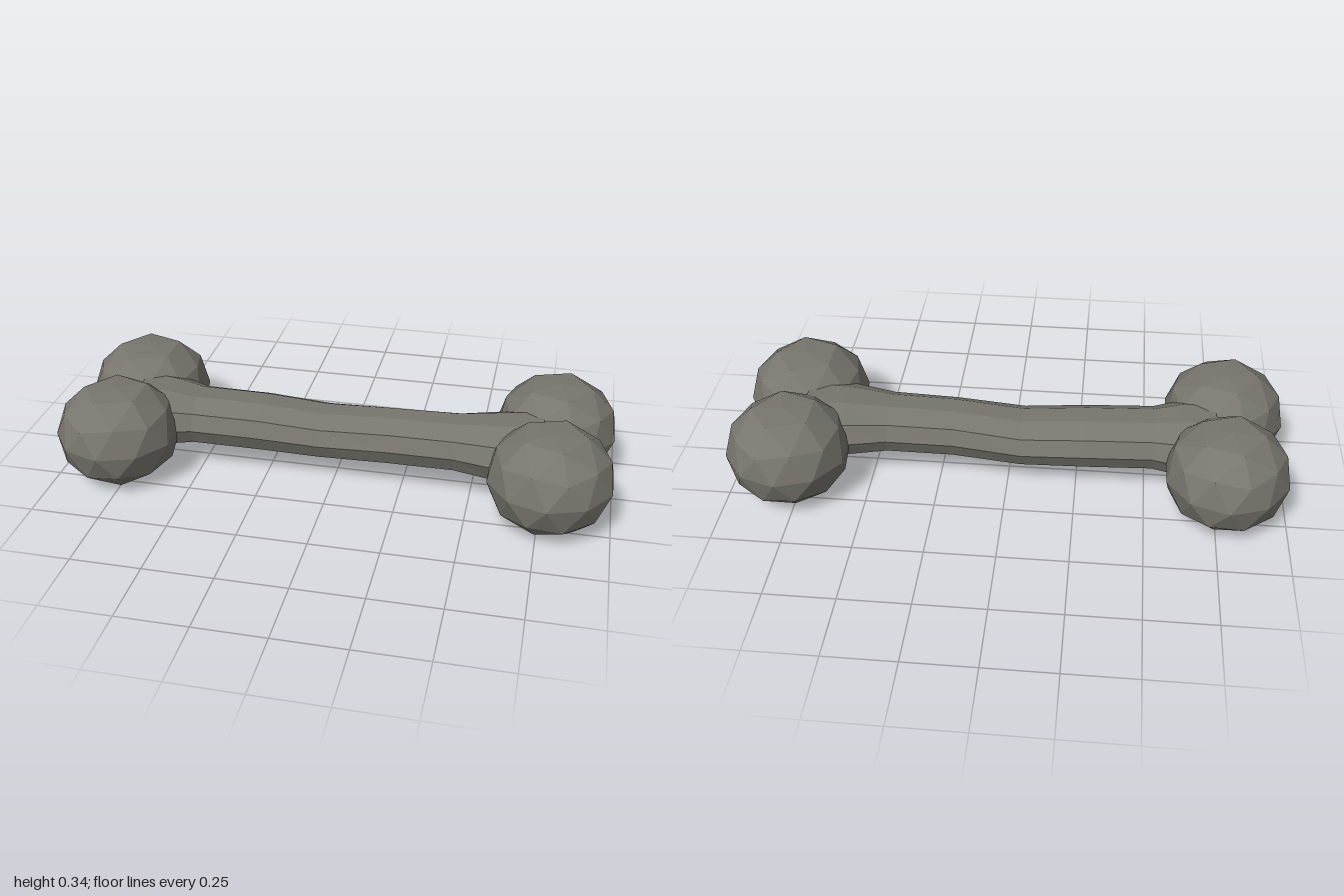
import * as THREE from 'three';

export function createModel() {
  const bone = new THREE.MeshStandardMaterial({ color: 0x77756d, flatShading: true });
  bone.name = 'weathered grey bone';
  const model = new THREE.Group();
  model.name = 'bone';
  const midY = 0.173;

  // Knob: icosphere with a vertex at the pole, flattened on top and bottom
  function knobGeometry() {
    const geo = new THREE.IcosahedronGeometry(1, 1);
    geo.rotateZ(-Math.atan2(1, (1 + Math.sqrt(5)) / 2));
    const pos = geo.attributes.position;
    for (let i = 0; i < pos.count; i++) {
      const y = THREE.MathUtils.clamp(pos.getY(i) * 0.193, -0.172, 0.172);
      pos.setXYZ(i, pos.getX(i) * 0.222, y, pos.getZ(i) * 0.229);
    }
    geo.computeVertexNormals();
    return geo;
  }
  const knobGeo = knobGeometry();
  for (const sx of [1, -1]) {
    for (const sz of [1, -1]) {
      const knob = new THREE.Mesh(knobGeo, bone);
      knob.name = (sz > 0 ? 'front' : 'back') + (sx > 0 ? 'Left' : 'Right') + 'Knob';
      knob.position.set(sx * 0.78, midY, sz * 0.181);
      if (sx < 0) knob.rotation.y = Math.PI;
      model.add(knob);
    }
  }

  // Shaft: ten-sided rings given as x, bottom, top, back, front; closed at both ends
  const rings = [
    [-0.74, 0.17, 0.17, 0, 0],
    [-0.74, 0.06, 0.29, -0.19, 0.19],
    [-0.62, 0.07, 0.285, -0.165, 0.175],
    [-0.52, 0.08, 0.267, -0.135, 0.142],
    [-0.28, 0.074, 0.262, -0.14, 0.133],
    [-0.05, 0.068, 0.245, -0.136, 0.125],
    [0.2, 0.078, 0.262, -0.117, 0.133],
    [0.44, 0.082, 0.267, -0.122, 0.14],
    [0.6, 0.07, 0.283, -0.16, 0.175],
    [0.74, 0.06, 0.29, -0.19, 0.19],
    [0.74, 0.17, 0.17, 0, 0],
  ];
  const sides = 10;
  const verts = [], index = [];
  rings.forEach(([x, y0, y1, z0, z1], r) => {
    for (let s = 0; s < sides; s++) {
      const a = (s / sides) * Math.PI * 2;
      verts.push(
        x,
        (y0 + y1) / 2 + ((y1 - y0) / 2) * Math.sin(a) / Math.sin(Math.PI * 0.4),
        (z0 + z1) / 2 + ((z1 - z0) / 2) * Math.cos(a)
      );
      if (r === rings.length - 1) continue;
      const p = r * sides + s, q = r * sides + (s + 1) % sides;
      index.push(p, p + sides, q, q, p + sides, q + sides);
    }
  });
  const indexed = new THREE.BufferGeometry();
  indexed.setAttribute('position', new THREE.Float32BufferAttribute(verts, 3));
  indexed.setIndex(index);
  const shaftGeo = indexed.toNonIndexed();
  shaftGeo.computeVertexNormals();
  const shaft = new THREE.Mesh(shaftGeo, bone);
  shaft.name = 'shaft';
  model.add(shaft);

  return model;
}
